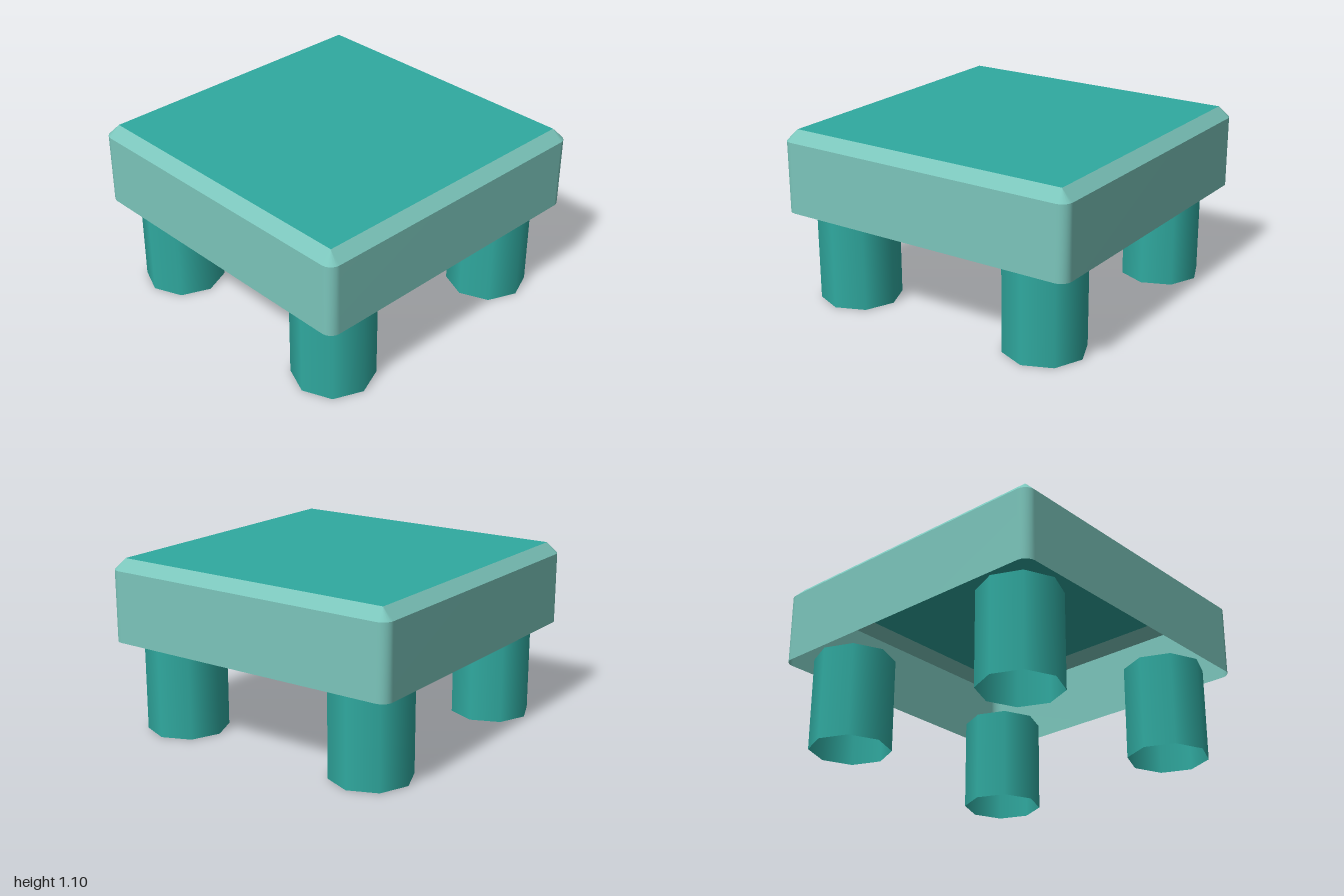
import * as THREE from 'three';

const teal = new THREE.MeshStandardMaterial({ name: 'teal', color: 0x30aaa0, side: THREE.DoubleSide });
const paleTeal = new THREE.MeshStandardMaterial({ name: 'paleTeal', color: 0x7bc5bb, side: THREE.DoubleSide });

const INNER = 0.932; // half width of the flat top
const CORNER = 0.068; // rounding of the outer corners
const ARC_STEPS = 5;

// Square outline with corners rounded by r, at height y
function outline(r, y) {
  const points = [];
  for (let c = 0; c < 4; c++) {
    const mid = Math.PI / 4 + (c * Math.PI) / 2;
    const cx = INNER * Math.sign(Math.cos(mid));
    const cz = INNER * Math.sign(Math.sin(mid));
    for (let i = 0; i <= ARC_STEPS; i++) {
      const a = (c + i / ARC_STEPS) * Math.PI / 2;
      points.push([cx + r * Math.cos(a), y, cz + r * Math.sin(a)]);
    }
  }
  return points;
}

// Closed strip between a lower and an upper outline
function band(lower, upper) {
  const n = lower.length;
  const index = [];
  for (let i = 0; i < n; i++) {
    const j = (i + 1) % n;
    index.push(i, n + i, j, j, n + i, n + j);
  }
  const geometry = new THREE.BufferGeometry();
  geometry.setAttribute('position', new THREE.Float32BufferAttribute([...lower, ...upper].flat(), 3));
  geometry.setIndex(index);
  geometry.computeVertexNormals();
  return geometry;
}

function addPart(parent, name, geometry, material) {
  const mesh = new THREE.Mesh(geometry, material);
  mesh.name = name;
  parent.add(mesh);
  return mesh;
}

export function createModel() {
  const model = new THREE.Group();
  model.name = 'table';

  // Hollow table top: flat panel, sloping rim and straight skirt
  const panel = new THREE.PlaneGeometry(2 * INNER, 2 * INNER).rotateX(-Math.PI / 2);
  addPart(model, 'topPanel', panel, teal).position.y = 1.098;
  addPart(model, 'rim', band(outline(CORNER, 1.03), outline(0, 1.098)), paleTeal);
  addPart(model, 'skirt', band(outline(CORNER, 0.58), outline(CORNER, 1.03)), paleTeal);

  // Four open eight-sided legs
  const legHeight = 0.6;
  const legGeometry = new THREE.CylinderGeometry(0.253, 0.253, legHeight, 8, 1, true);
  for (const [side, x] of [['left', 0.695], ['right', -0.695]]) {
    for (const [end, z] of [['Front', 0.687], ['Back', -0.682]]) {
      addPart(model, `${side}${end}Leg`, legGeometry, teal).position.set(x, legHeight / 2, z);
    }
  }
  return model;
}
